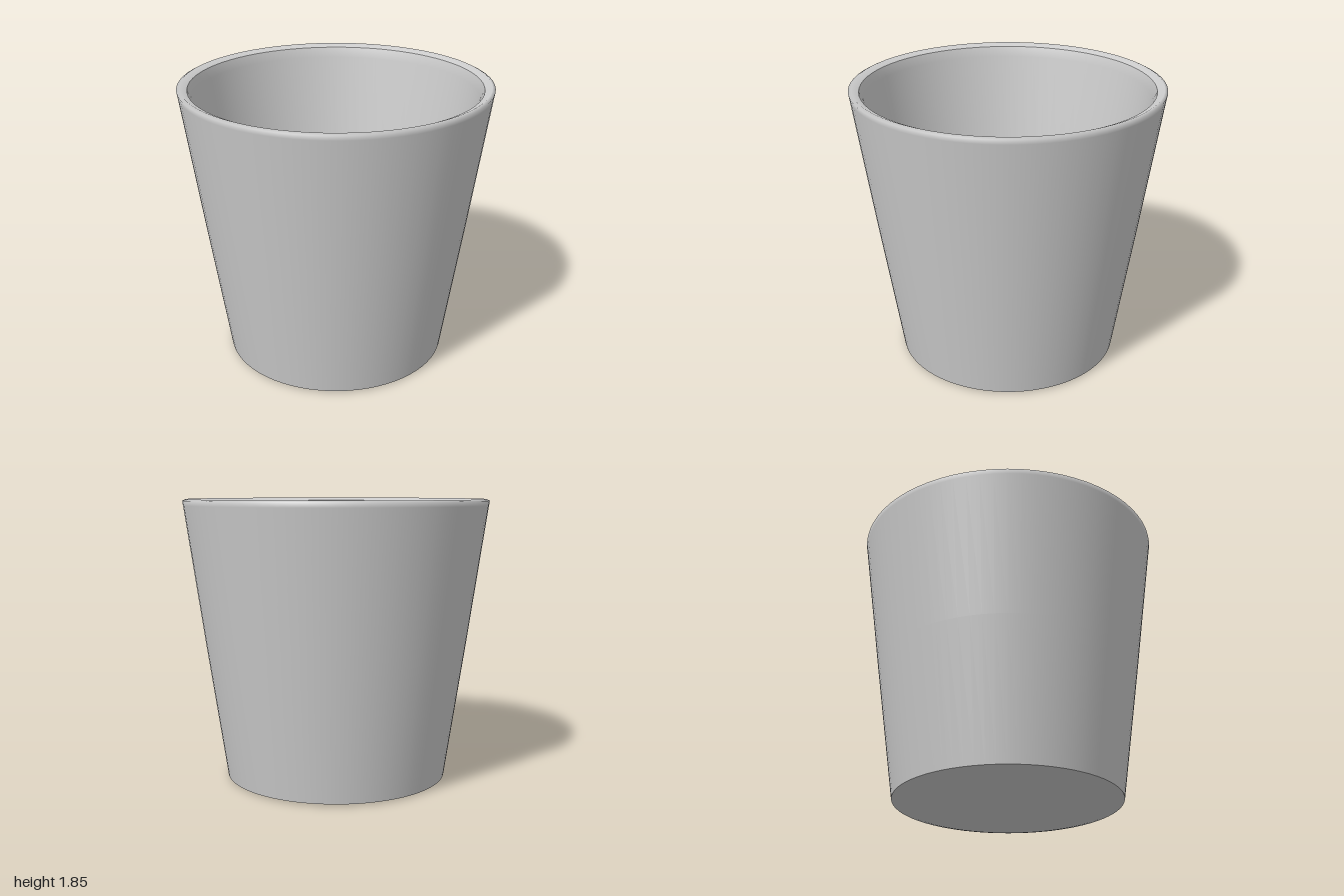
import * as THREE from 'three';

const SEGMENTS = 72;

export function createModel() {
  const model = new THREE.Group();
  model.name = 'taperedPot';
  const gray = new THREE.MeshStandardMaterial({ color: 0xcccccc });
  gray.name = 'light gray';

  // Each section is smooth inside; sharp edges lie where sections meet.
  const sections = {
    base: [[0, 0], [0.5, 0], [0.69, 0], [0.735, 0.01]],
    outerWallAndRim: [[0.735, 0.01], [0.866, 0.9], [0.995, 1.81], [1, 1.84], [0.98, 1.85], [0.935, 1.83]],
    innerWall: [[0.935, 1.83], [0.915, 1.765], [0.79, 0.92], [0.665, 0.1]],
    floor: [[0.665, 0.1], [0.63, 0.087], [0.55, 0.08], [0, 0.08]],
  };

  for (const [name, profile] of Object.entries(sections)) {
    const points = profile.map(([r, y]) => new THREE.Vector2(r, y));
    const mesh = new THREE.Mesh(new THREE.LatheGeometry(points, SEGMENTS), gray);
    mesh.name = name;
    model.add(mesh);
  }
  return model;
}
